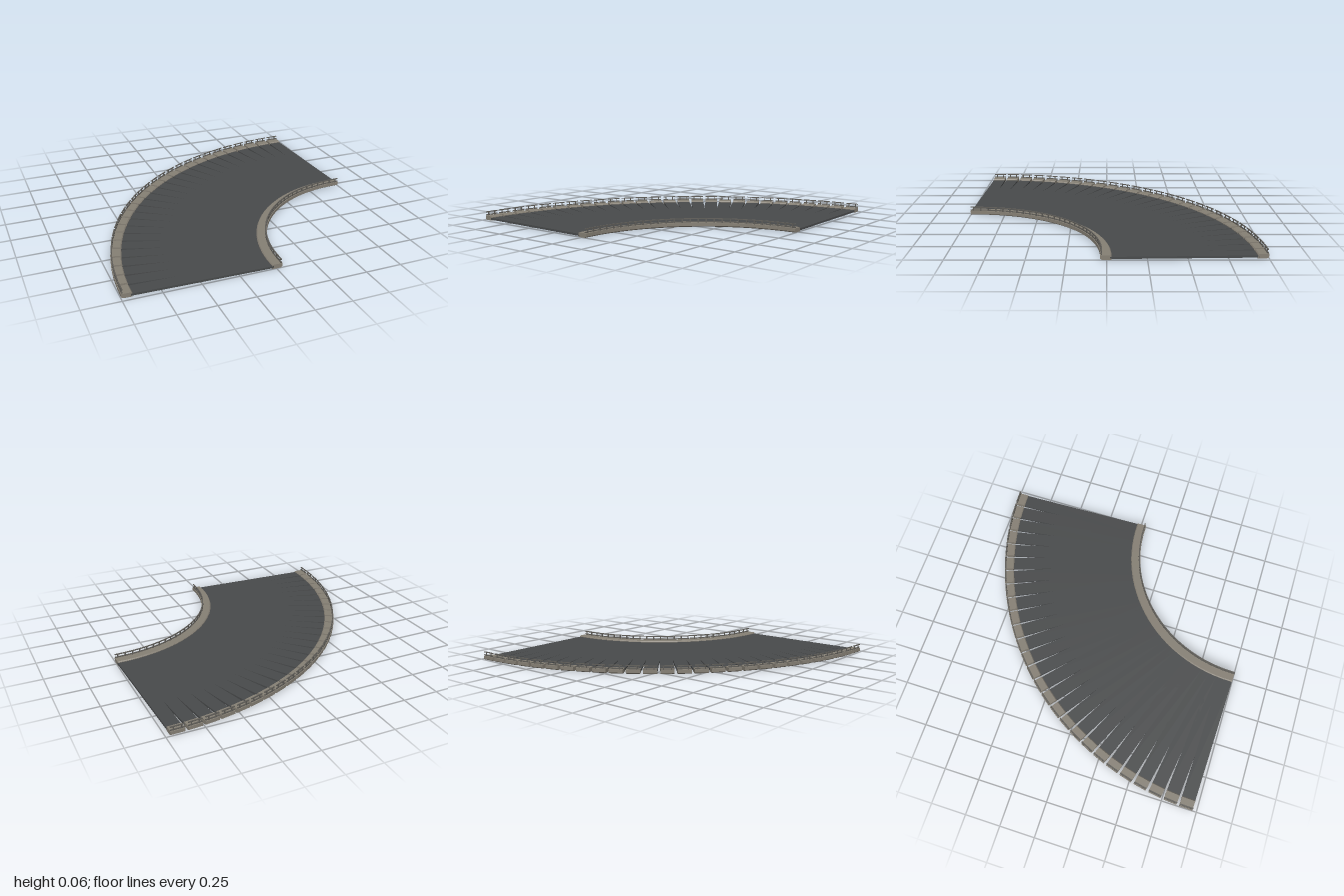
import * as THREE from 'three';

// Curved deck made of equal straight tiles fanned around one corner:
// the tiles overlap at the inner edge and spread apart at the outer edge.
const TILES = 27;
const PITCH = Math.PI / 2 / TILES;
const HALF = 0.047;            // half the width of a tile
const CENTRE = 0.98;           // fan centre in x and z
const INNER = 0.939, OUTER = 1.979;

const deckMat = new THREE.MeshStandardMaterial({ color: 0x484a4b });
const kerbMat = new THREE.MeshStandardMaterial({ color: 0x857f74 });
const railMat = new THREE.MeshStandardMaterial({ color: 0x5e5c57 });

// Extrudes a cross-section of [radius, height] points over the tile width
function sweep(points) {
  const shape = new THREE.Shape(points.map(([r, y]) => new THREE.Vector2(r, y)));
  const geo = new THREE.ExtrudeGeometry(shape, { depth: 2 * HALF, bevelEnabled: false });
  return geo.rotateY(Math.PI / 2).translate(-HALF, 0, 0);
}

// Kerb section, from its free edge (d = 0) towards the road
const kerbSection = [[0, 0.008], [0.012, 0], [0.07, 0], [0.07, 0.024], [0.064, 0.03], [0, 0.03]];

const deckGeo = sweep([[INNER + 0.06, 0.006], [OUTER - 0.06, 0.006], [OUTER - 0.06, 0.02], [INNER + 0.06, 0.02]]);
const innerKerbGeo = sweep(kerbSection.map(([d, y]) => [INNER + d, y]));
const outerKerbGeo = sweep(kerbSection.map(([d, y]) => [OUTER - d, y]));
const barGeo = new THREE.BoxGeometry(2 * HALF, 0.006, 0.008);
const postGeo = new THREE.BoxGeometry(0.006, 0.03, 0.006);

function add(parent, name, geo, mat, x = 0, y = 0, z = 0) {
  const mesh = new THREE.Mesh(geo, mat);
  mesh.name = name;
  mesh.position.set(x, y, z);
  parent.add(mesh);
}

// Railing with two bars and two posts at the given radius
function railing(name, radius) {
  const rail = new THREE.Group();
  rail.name = name;
  add(rail, 'topBar', barGeo, railMat, 0, 0.057, -radius);
  add(rail, 'lowerBar', barGeo, railMat, 0, 0.036, -radius);
  for (const side of [-1, 1]) add(rail, 'post', postGeo, railMat, side * HALF * 0.55, 0.043, -radius);
  return rail;
}

export function createModel() {
  const model = new THREE.Group();
  model.name = 'curvedBridgeDeck';
  for (let i = 0; i < TILES; i++) {
    const tile = new THREE.Group();
    tile.name = 'deckTile';
    tile.position.set(CENTRE, 0, CENTRE);
    tile.rotation.y = (i + 0.5) * PITCH;
    add(tile, 'roadSurface', deckGeo, deckMat);
    add(tile, 'innerKerb', innerKerbGeo, kerbMat);
    add(tile, 'outerKerb', outerKerbGeo, kerbMat);
    tile.add(railing('innerRailing', INNER + 0.008), railing('outerRailing', OUTER - 0.008));
    model.add(tile);
  }
  return model;
}
